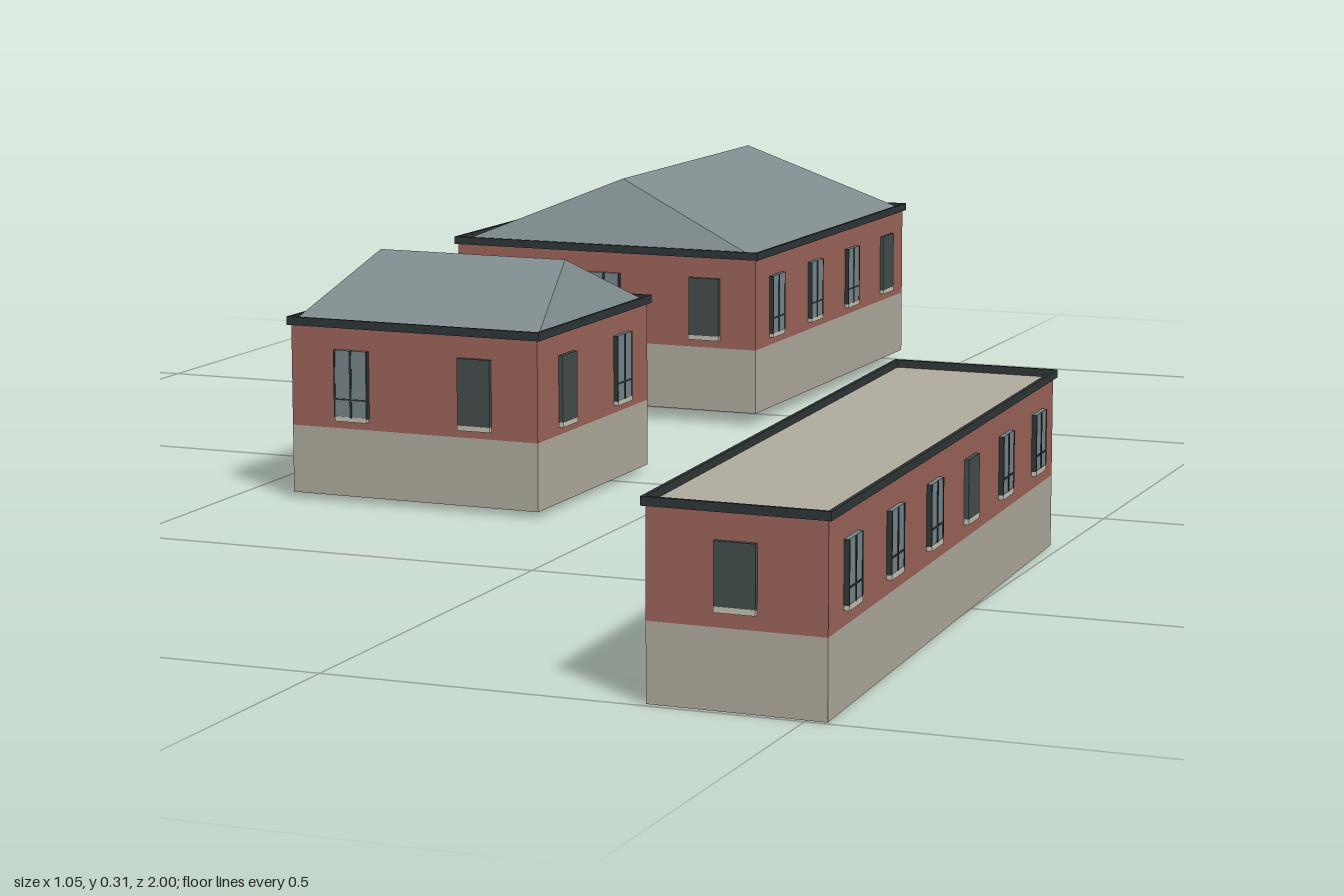
import * as THREE from 'three';

const paint = (name, color, side = THREE.FrontSide) => {
  const m = new THREE.MeshStandardMaterial({ color, side });
  m.name = name;
  return m;
};
const stone = paint('stone', 0xb0ab9d, THREE.DoubleSide);
const sillStone = paint('pale sill', 0xc6c1b2);
const brick = paint('brick', 0x9c645a, THREE.DoubleSide);
const slate = paint('slate', 0x7f8c8e, THREE.DoubleSide);
const trim = paint('dark trim', 0x2f3637, THREE.DoubleSide);
const glass = paint('glass', 0x77878a);
const shutter = paint('shutter', 0x444d4c);

// Footprint corners run back-left, back-right, front-right, front-left in (x, z) plan.
const buildings = [
  {
    name: 'largeHouse', corners: [[-0.514, -0.994], [-0.085, -0.988], [-0.091, -0.415], [-0.521, -0.421]],
    levels: [0.016, 0.1, 0.219, 0.229], ridge: { y: 0.31, inset: 0.061, turn: 0 },
    sill: 0.115, head: 0.192, width: 0.043,
    windows: ['DLD', 'DLLL', 'DLD', 'DDLD'],
  },
  {
    name: 'smallHouse', corners: [[-0.424, -0.085], [-0.105, -0.08], [-0.109, 0.24], [-0.429, 0.235]],
    levels: [0.007, 0.088, 0.208, 0.218], ridge: { y: 0.28, inset: 0.037, turn: 1 },
    sill: 0.102, head: 0.182, width: 0.042,
    windows: ['LD', 'LD', 'DL', 'LD'],
  },
  {
    name: 'longHouse', corners: [[0.302, 0.163], [0.485, 0.164], [0.521, 0.995], [0.339, 0.993]],
    levels: [0, 0.08, 0.19, 0.199],
    sill: 0.1, head: 0.163, width: 0.042,
    windows: ['', 'LLDLLL', 'D', 'DDLDDD'],
  },
];

// Move every corner of a quad outward along its two edges.
function outset(corners, d) {
  const v = corners.map(c => new THREE.Vector2(...c));
  return v.map((p, i) => {
    const a = v[(i + 1) % 4].clone().sub(p).normalize();
    const b = v[(i + 3) % 4].clone().sub(p).normalize();
    return p.clone().addScaledVector(a.add(b), -d);
  });
}

// Hollow band of wall following the footprint.
function band(name, corners, outer, inner, y0, y1, material) {
  const plan = d => outset(corners, d).map(p => new THREE.Vector2(p.x, -p.y));
  const shape = new THREE.Shape(plan(outer));
  shape.holes.push(new THREE.Path(plan(inner).reverse()));
  const geo = new THREE.ExtrudeGeometry(shape, { depth: y1 - y0, bevelEnabled: false });
  geo.rotateX(-Math.PI / 2).translate(0, y0, 0);
  const mesh = new THREE.Mesh(geo, material);
  mesh.name = name;
  return mesh;
}

function roofMesh(name, triangles, material) {
  const geo = new THREE.BufferGeometry().setFromPoints(triangles);
  geo.computeVertexNormals();
  const mesh = new THREE.Mesh(geo, material);
  mesh.name = name;
  return mesh;
}

// Four slopes meeting on a short ridge, rising from behind the cornice.
function hipRoof(corners, y, ridge) {
  const c = outset(corners, 0).map(p => new THREE.Vector3(p.x, y, p.y));
  for (let i = 0; i < ridge.turn; i++) c.push(c.shift());
  const e0 = c[0].clone().lerp(c[1], 0.5), e1 = c[2].clone().lerp(c[3], 0.5);
  const step = e1.clone().sub(e0).setLength(ridge.inset);
  e0.add(step).setY(ridge.y);
  e1.sub(step).setY(ridge.y);
  return roofMesh('hipRoof', [
    c[0], e0, c[1], c[2], e1, c[3],
    c[1], e0, e1, c[1], e1, c[2],
    c[3], e1, e0, c[3], e0, c[0],
  ], slate);
}

// Flat slab closing the walls below the cornice top.
function roofSlab(corners, y) {
  const c = outset(corners, 0).map(p => new THREE.Vector3(p.x, y, p.y));
  return roofMesh('roofSlab', [c[0], c[2], c[1], c[0], c[3], c[2]], stone);
}

function box(name, w, h, d, x, y, material) {
  const mesh = new THREE.Mesh(new THREE.BoxGeometry(w, h, d), material);
  mesh.name = name;
  mesh.position.set(x, y, 0.001);
  return mesh;
}

// Thin window set through the wall; glazed ones get glazing bars.
function makeWindow(glazed, w, h) {
  const g = new THREE.Group();
  g.name = glazed ? 'glazedWindow' : 'shutteredWindow';
  g.add(box('pane', w, h, 0.008, 0, h / 2, glazed ? glass : shutter));
  g.add(box('sill', w, 0.006, 0.009, 0, -0.002, sillStone));
  if (glazed) {
    g.add(box('mullion', 0.003, h, 0.0095, 0, h / 2, trim));
    g.add(box('transom', w, 0.002, 0.0092, 0, h * 0.27, trim));
    for (const s of [-1, 1]) g.add(box('jamb', 0.002, h, 0.0092, s * w / 2, h / 2, trim));
  }
  return g;
}

function makeBuilding(b) {
  const house = new THREE.Group();
  house.name = b.name;
  const [y0, y1, y2, y3] = b.levels;
  house.add(
    band('plinth', b.corners, 0, -0.002, y0, y1, stone),
    band('brickWall', b.corners, 0, -0.002, y1, y2, brick),
    band('cornice', b.corners, 0.004, 0, y2, y3, trim),
    roofSlab(b.corners, y2 + 0.0005),
  );
  if (b.ridge) house.add(hipRoof(b.corners, y2 + 0.002, b.ridge));
  // Windows evenly spaced along each side
  b.windows.forEach((row, side) => {
    const [px, pz] = b.corners[side], [qx, qz] = b.corners[(side + 1) % 4];
    [...row].forEach((kind, i) => {
      const t = (i + 0.5) / row.length;
      const win = makeWindow(kind === 'L', b.width, b.head - b.sill);
      win.position.set(px + (qx - px) * t, b.sill, pz + (qz - pz) * t);
      // Face along the outward normal of this side
      win.rotation.y = Math.atan2(qz - pz, px - qx);
      house.add(win);
    });
  });
  return house;
}

export function createModel() {
  const model = new THREE.Group();
  model.name = 'brickHouses';
  buildings.forEach(b => model.add(makeBuilding(b)));
  return model;
}
